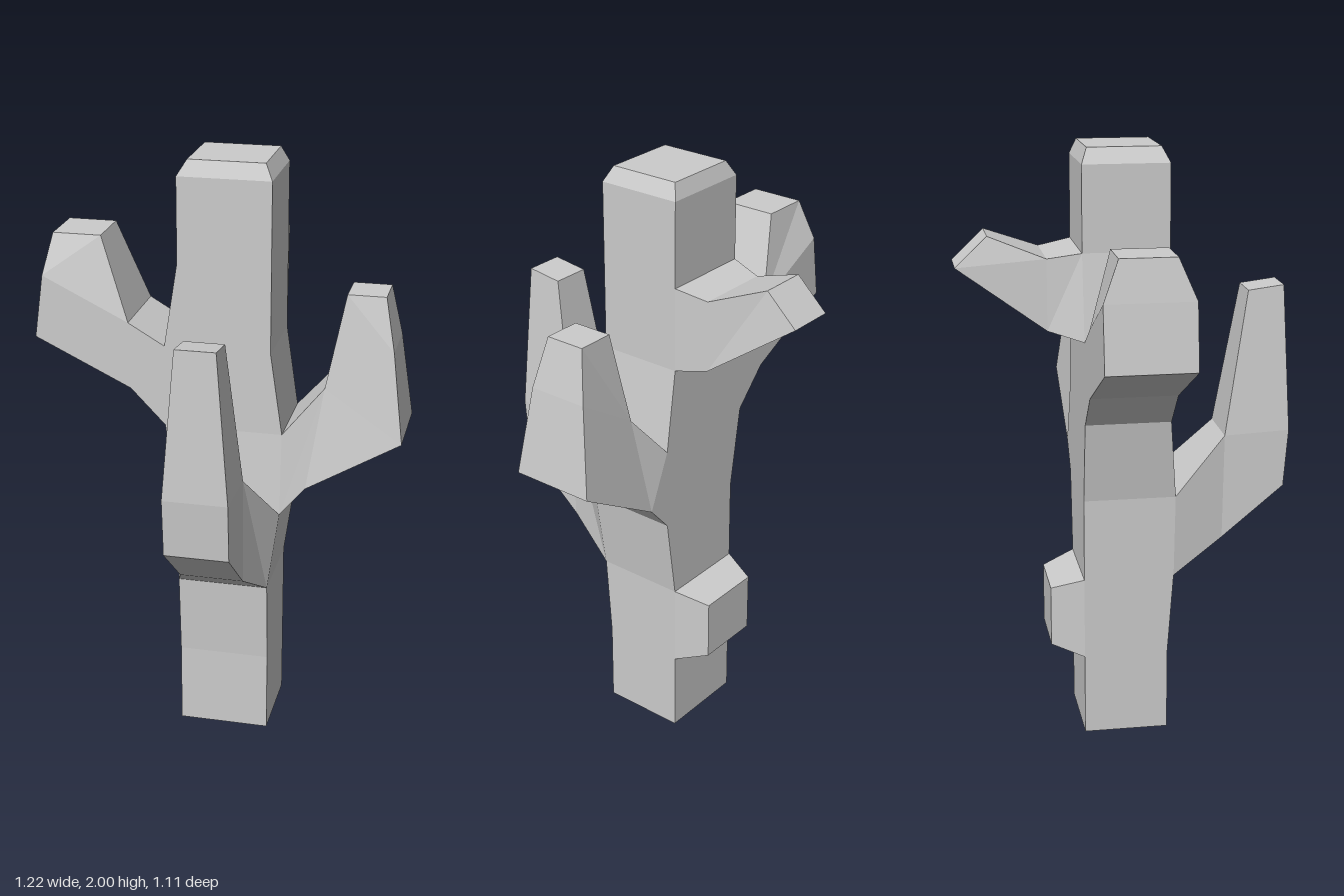
import * as THREE from 'three';

const BACK = -0.15, FRONT = 0.135;

// Skins a run of four-cornered sections; skip lists 'section,side' faces left open.
function loft(name, sections, { flip = false, startCap = false, skip = [] } = {}) {
  const pos = [];
  const tri = (a, b, c) => {
    const area = b.clone().sub(a).cross(c.clone().sub(a)).length();
    if (area < 1e-7) return;
    for (const p of flip ? [a, c, b] : [a, b, c]) pos.push(p.x, p.y, p.z);
  };
  const quad = (a, b, c, d) => { tri(a, b, c); tri(a, c, d); };
  for (let i = 0; i < sections.length - 1; i++) {
    const p = sections[i], q = sections[i + 1];
    for (let s = 0; s < 4; s++) {
      const t = (s + 1) % 4;
      if (!skip.includes(`${i},${s}`)) quad(p[s], p[t], q[t], q[s]);
    }
  }
  quad(...sections[sections.length - 1]);
  if (startCap) quad(...[...sections[0]].reverse());
  const geo = new THREE.BufferGeometry();
  geo.setAttribute('position', new THREE.Float32BufferAttribute(pos, 3));
  geo.computeVertexNormals();
  const mesh = new THREE.Mesh(geo, new THREE.MeshStandardMaterial({ color: 0xcccccc, flatShading: true }));
  mesh.name = name;
  return mesh;
}

// Arm growing along x or z. Each section is [lower, upper] edge,
// each edge is [distance along axis, height, side min, side max].
function arm(name, axis, sections) {
  const v = (a, y, w) => axis === 'x' ? new THREE.Vector3(a, y, w) : new THREE.Vector3(w, y, a);
  const rings = sections.map(([[a, y, w0, w1], [b, h, u0, u1]]) =>
    [v(a, y, w0), v(a, y, w1), v(b, h, u1), v(b, h, u0)]);
  return loft(name, rings, { flip: (axis === 'x') === (sections[0][0][0] > 0) });
}

export function createModel() {
  const group = new THREE.Group();
  group.name = 'cactus';

  // Trunk rings: y, x min, x max, z min, z max; openings are where the limbs join
  const trunk = [
    [0, -0.13, 0.175, BACK, FRONT],
    [0.28, -0.13, 0.175, BACK, FRONT],
    [0.56, -0.13, 0.175, BACK, 0.155],
    [0.84, -0.13, 0.215, BACK, 0.16],
    [1.115, -0.175, 0.215, BACK, FRONT],
    [1.39, -0.175, 0.175, BACK, FRONT],
    [1.67, -0.13, 0.175, BACK, FRONT],
    [1.95, -0.13, 0.175, BACK, FRONT],
    [2, -0.10, 0.15, -0.13, 0.11],
  ].map(([y, x0, x1, z0, z1]) =>
    [[x0, z1], [x1, z1], [x1, z0], [x0, z0]].map(([x, z]) => new THREE.Vector3(x, y, z)));
  group.add(loft('trunk', trunk, { startCap: true, skip: ['2,0', '1,2', '3,1', '4,3', '5,2'] }));

  // Left arm, bent upwards at the elbow
  const leftElbow = [0.345, 1.27, -0.11, 0.09];
  group.add(arm('leftArm', 'x', [
    [[0.215, 0.84, BACK, 0.16], [0.215, 1.115, BACK, FRONT]],
    [[0.295, 0.93, BACK, FRONT], leftElbow],
    [[0.605, 1.115, BACK, FRONT], leftElbow],
    [[0.565, 1.41, -0.11, 0.095], leftElbow],
    [[0.53, 1.58, -0.08, 0.055], [0.405, 1.58, -0.08, 0.055]],
  ]));

  // Right arm, higher and blunter
  const rightElbow = [-0.295, 1.46, BACK, FRONT];
  group.add(arm('rightArm', 'x', [
    [[-0.175, 1.115, BACK, FRONT], [-0.175, 1.39, BACK, FRONT]],
    [[-0.29, 1.235, BACK, FRONT], rightElbow],
    [[-0.61, 1.39, BACK, FRONT], rightElbow],
    [[-0.58, 1.6, BACK, FRONT], rightElbow],
    [[-0.555, 1.73, -0.10, 0.08], [-0.395, 1.73, -0.10, 0.08]],
  ]));

  // Front arm, tall and slim
  const frontElbow = [0.335, 1.03, -0.08, 0.13];
  group.add(arm('frontArm', 'z', [
    [[0.155, 0.56, -0.13, 0.175], [0.16, 0.84, -0.13, 0.215]],
    [[0.33, 0.67, -0.08, 0.13], frontElbow],
    [[0.54, 0.845, -0.08, 0.13], frontElbow],
    [[0.555, 1.04, -0.08, 0.13], frontElbow],
    [[0.535, 1.53, -0.04, 0.09], [0.415, 1.515, -0.04, 0.09]],
  ]));

  // Short back arm and the knob below it
  group.add(arm('backArm', 'z', [
    [[BACK, 1.39, -0.175, 0.175], [BACK, 1.67, -0.13, 0.175]],
    [[-0.26, 1.415, -0.10, 0.155], [-0.26, 1.65, -0.10, 0.155]],
    [[-0.55, 1.62, -0.055, 0.105], [-0.445, 1.72, -0.055, 0.105]],
  ]));
  group.add(arm('backKnob', 'z', [
    [[BACK, 0.28, -0.13, 0.175], [BACK, 0.56, -0.13, 0.175]],
    [[-0.26, 0.32, -0.095, 0.13], [-0.26, 0.525, -0.095, 0.13]],
  ]));

  return group;
}
